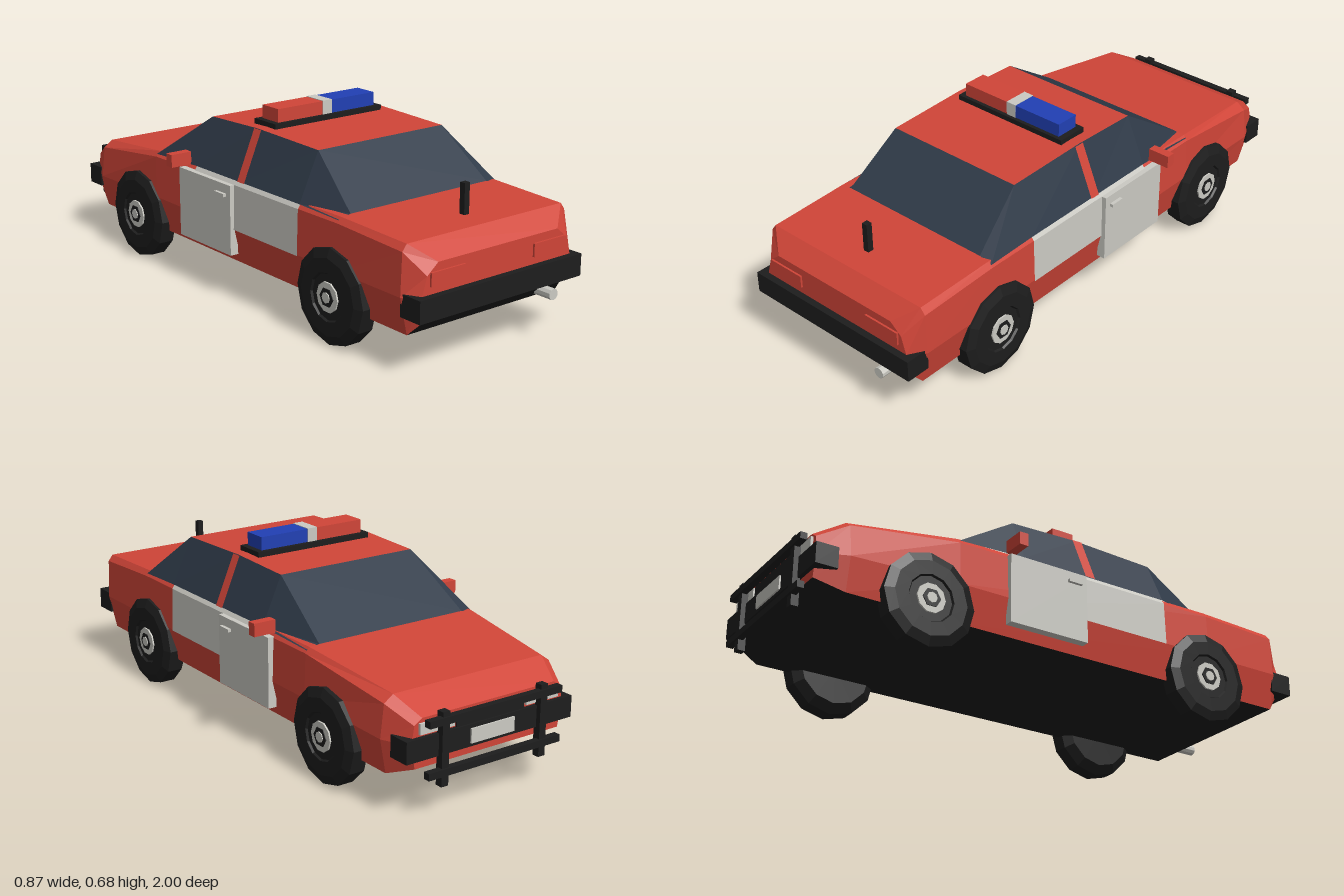
import * as THREE from 'three';

const mat = (name, color) => {
  const m = new THREE.MeshStandardMaterial({ color });
  m.name = name;
  return m;
};

export function createModel() {
  const car = new THREE.Group();
  car.name = 'patrolCar';
  const red = mat('red', 0xd04538);
  const glass = mat('glass', 0x2f3a48);
  const black = mat('black', 0x1d1d1d);
  const white = mat('white', 0xcbcac3);
  const blue = mat('blue', 0x2140b4);

  const add = (name, geo, material, parent = car) => {
    const mesh = new THREE.Mesh(geo, material);
    mesh.name = name;
    parent.add(mesh);
    return mesh;
  };
  // Box given by its min and max on each axis
  const box = (name, m, x0, x1, y0, y1, z0, z1) => {
    const mesh = add(name, new THREE.BoxGeometry(x1 - x0, y1 - y0, z1 - z0), m);
    mesh.position.set((x0 + x1) / 2, (y0 + y1) / 2, (z0 + z1) / 2);
    return mesh;
  };
  const mirrorBox = (name, m, x0, x1, ...rest) => {
    box(name + 'Left', m, x0, x1, ...rest);
    box(name + 'Right', m, -x1, -x0, ...rest);
  };
  const flat = (geo) => {
    const g = geo.index ? geo.toNonIndexed() : geo;
    g.computeVertexNormals();
    return g;
  };

  // Flat-faced loft through mirrored half sections [z, x0, y0, x1, y1, ...], from +z to -z.
  // pick(i, j) gives the material of a face, or nothing to leave it out.
  const loft = (name, sections, materials, pick, capped) => {
    const rings = sections.map(([z, ...p]) => {
      const half = [];
      for (let k = 0; k < p.length; k += 2) half.push([p[k], p[k + 1], z]);
      return [...half, ...half.slice().reverse().map(([x, y]) => [-x, y, z])];
    });
    const n = rings[0].length;
    const faces = materials.map(() => []);
    for (let i = 0; i < rings.length - 1; i++) {
      for (let j = 0; j < n; j++) {
        const k = pick(i, j, n);
        if (k === undefined) continue;
        const a = rings[i][j], b = rings[i + 1][j];
        const c = rings[i + 1][(j + 1) % n], d = rings[i][(j + 1) % n];
        faces[k].push(a, b, c, a, c, d);
      }
    }
    if (capped) {
      const first = rings[0], last = rings[rings.length - 1];
      for (let j = 1; j < n - 1; j++) {
        faces[0].push(first[0], first[j], first[j + 1], last[0], last[j + 1], last[j]);
      }
    }
    const geo = new THREE.BufferGeometry();
    geo.setAttribute('position', new THREE.Float32BufferAttribute(faces.flat(2), 3));
    let start = 0;
    faces.forEach((f, k) => {
      geo.addGroup(start, f.length, k);
      start += f.length;
    });
    geo.computeVertexNormals();
    return add(name, geo, materials);
  };

  // Body shell with a dark underside
  loft('body', [
    [0.97, 0.3, 0.195, 0.33, 0.27, 0.31, 0.335, 0.265, 0.372],
    [0.91, 0.335, 0.13, 0.365, 0.26, 0.36, 0.407, 0.342, 0.43],
    [0.6, 0.335, 0.13, 0.365, 0.26, 0.36, 0.42, 0.345, 0.44],
    [-0.46, 0.335, 0.13, 0.365, 0.26, 0.36, 0.415, 0.345, 0.435],
    [-0.86, 0.335, 0.13, 0.358, 0.25, 0.345, 0.365, 0.31, 0.39],
    [-0.96, 0.3, 0.17, 0.315, 0.25, 0.305, 0.315, 0.275, 0.335],
  ], [red, black], (i, j, n) => (j === n - 1 ? 1 : 0), true);

  // Cabin: glass all round, red roof
  loft('cabin', [
    [0.6, 0.356, 0.43, 0.305, 0.442],
    [0.4, 0.356, 0.435, 0.277, 0.606],
    [0.07, 0.356, 0.435, 0.28, 0.615],
    [-0.2, 0.356, 0.435, 0.28, 0.606],
    [-0.46, 0.356, 0.425, 0.305, 0.437],
  ], [red, glass], (i, j) => (j === 3 ? undefined : j === 1 && (i === 1 || i === 2) ? 0 : 1));
  loft('doorPillars', [0.095, 0.055].map((z) => [z, 0.36, 0.435, 0.284, 0.614]),
    [red], (i, j) => (j === 0 || j === 2 ? 0 : undefined));

  // White side panels and front doors
  loft('sidePanels', [0.4, -0.2].map((z) => [z, 0.368, 0.258, 0.363, 0.42, 0.349, 0.44]),
    [white], (i, j) => (j === 2 || j === 5 ? undefined : 0));
  mirrorBox('door', white, 0.35, 0.382, 0.165, 0.42, -0.272, 0.042);
  mirrorBox('doorHandle', white, 0.38, 0.394, 0.376, 0.387, -0.037, 0.018);
  mirrorBox('mirror', red, 0.352, 0.436, 0.433, 0.48, -0.272, -0.238);

  // Roof light bar
  box('lightBarBase', black, -0.24, 0.24, 0.606, 0.632, -0.002, 0.118);
  box('redBeacon', red, -0.217, -0.02, 0.632, 0.68, 0.014, 0.104);
  box('blueBeacon', blue, 0.02, 0.217, 0.632, 0.68, 0.014, 0.104);
  box('beaconDivider', white, -0.02, 0.02, 0.632, 0.682, 0.012, 0.106);

  // Tail end
  box('antenna', black, -0.011, 0.011, 0.43, 0.54, 0.795, 0.817);
  mirrorBox('tailLamp', red, 0.153, 0.298, 0.298, 0.344, 0.94, 0.977);
  box('rearBumper', black, -0.36, 0.36, 0.195, 0.272, 0.905, 0.995);
  const pipe = add('exhaust', flat(new THREE.CylinderGeometry(0.02, 0.02, 0.08, 10)), white);
  pipe.rotation.x = Math.PI / 2;
  pipe.position.set(0.228, 0.16, 0.96);

  // Nose: bumper, grille, lamps, plate and push bar
  box('frontBumper', black, -0.345, 0.345, 0.2, 0.275, -0.975, -0.895);
  box('grille', black, -0.14, 0.14, 0.275, 0.32, -0.967, -0.93);
  mirrorBox('headLamp', white, 0.15, 0.288, 0.283, 0.32, -0.969, -0.93);
  box('numberPlate', white, -0.09, 0.09, 0.212, 0.262, -0.981, -0.973);
  mirrorBox('pushBarPost', black, 0.19, 0.218, 0.1, 0.35, -0.992, -0.965);
  for (const y of [0.15, 0.322]) box('pushBarRail', black, -0.275, 0.275, y - 0.012, y + 0.012, -1, -0.975);

  // Wheels: chamfered tyre with stacked hub discs
  const tyre = flat(new THREE.LatheGeometry([
    [0, 0.29], [0.135, 0.29], [0.168, 0.315], [0.168, 0.373],
    [0.135, 0.385], [0.085, 0.385], [0.08, 0.378], [0, 0.378],
  ].map(([r, y]) => new THREE.Vector2(r, y)), 12));
  const discs = [
    ['rim', 0.053, 10, 0.384, white],
    ['hubRing', 0.034, 6, 0.387, black],
    ['hubCap', 0.019, 8, 0.39, white],
  ];
  for (const side of [1, -1]) {
    for (const z of [0.578, -0.578]) {
      const wheel = new THREE.Group();
      wheel.name = (z > 0 ? 'rear' : 'front') + 'Wheel' + (side > 0 ? 'Left' : 'Right');
      add('tyre', tyre, black, wheel);
      for (const [name, r, sides, top, m] of discs) {
        add(name, flat(new THREE.CylinderGeometry(r, r, 0.02, sides)), m, wheel).position.y = top - 0.01;
      }
      wheel.rotation.z = -side * Math.PI / 2;
      wheel.position.set(0, 0.168, z);
      car.add(wheel);
    }
  }
  return car;
}
